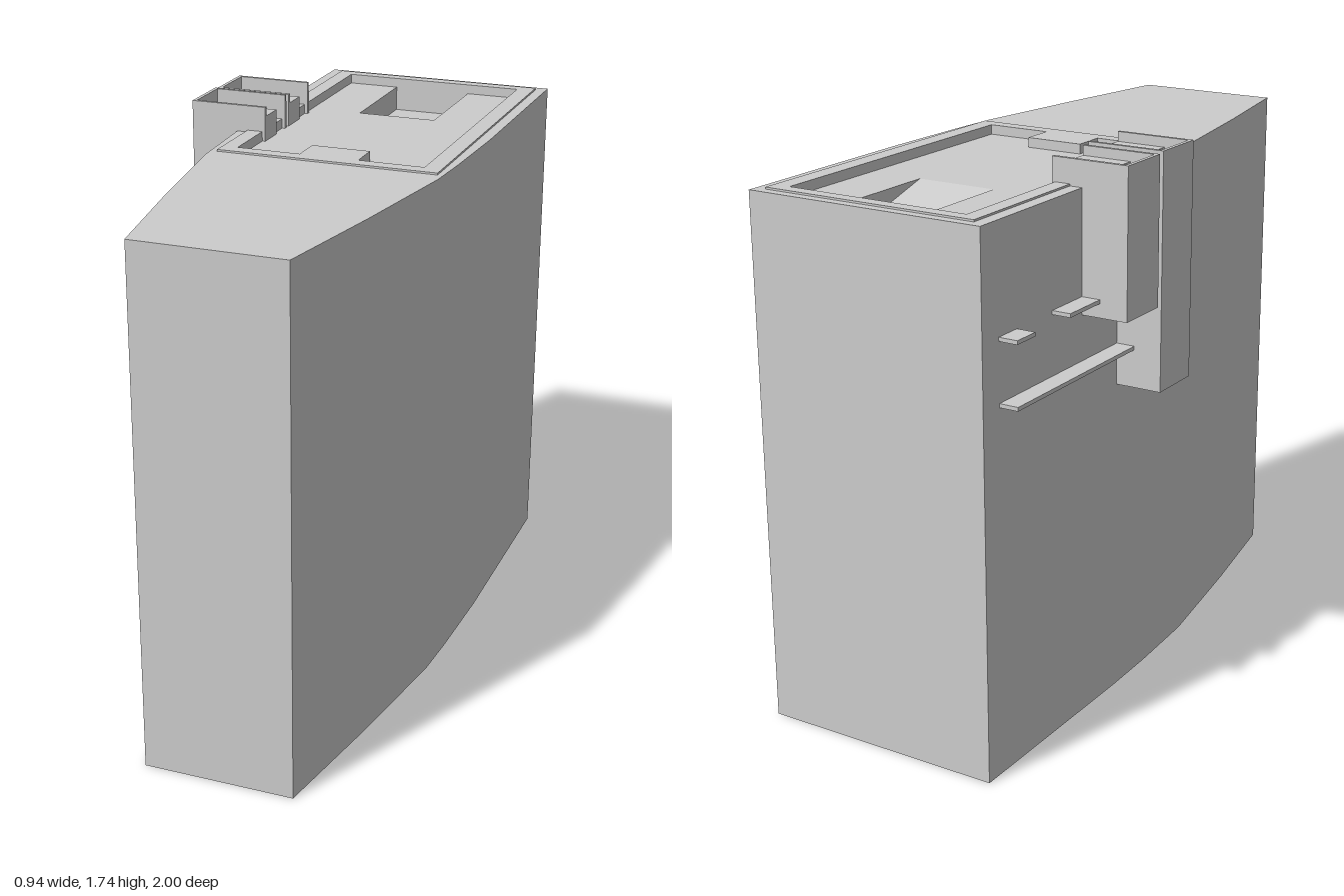
import * as THREE from 'three';

const material = new THREE.MeshStandardMaterial({ color: 0xcccccc, flatShading: true });

// Plan outlines as [x, z]
const bodyPlan = [
  [-0.32, -1], [0.465, -1], [0.465, -0.3], [0.455, 0], [0.445, 0.17], [0.38, 0.6],
  [0.31, 1], [-0.165, 1], [-0.235, 0.6], [-0.3, 0.17], [-0.315, -0.1], [-0.32, -0.3],
];
const platePlan = [[-0.28, -0.97], [0.43, -0.97], [0.43, 0.13], [-0.28, 0.13]];
const recessPlan = [
  [-0.23, -0.93], [0.375, -0.93], [0.375, 0.085], [0.165, 0.085],
  [0.165, -0.02], [-0.025, -0.02], [-0.025, 0.085], [-0.23, 0.085],
];
const pocketPlan = [[-0.06, -0.93], [0.2, -0.93], [0.2, -0.55], [-0.06, -0.55]];

const points = (list) => list.map(([a, b]) => new THREE.Vector2(a, b));

function addMesh(parent, name, geometry) {
  const mesh = new THREE.Mesh(geometry, material);
  mesh.name = name;
  parent.add(mesh);
  return mesh;
}

// Horizontal layer between two heights, with an optional opening
function addLayer(parent, name, plan, hole, y0, y1) {
  const shape = new THREE.Shape(points(plan));
  if (hole) shape.holes.push(new THREE.Path(points(hole)));
  const geometry = new THREE.ExtrudeGeometry(shape, { depth: y1 - y0, bevelEnabled: false });
  geometry.rotateX(Math.PI / 2);
  geometry.translate(0, y1, 0);
  return addMesh(parent, name, geometry);
}

// Box given by its limits on each axis
function addBox(parent, name, [x0, x1], [y0, y1], [z0, z1]) {
  const geometry = new THREE.BoxGeometry(x1 - x0, y1 - y0, z1 - z0);
  geometry.translate((x0 + x1) / 2, (y0 + y1) / 2, (z0 + z1) / 2);
  return addMesh(parent, name, geometry);
}

// Open-topped side box with a block inside it
function addSideBox(parent, name, y0, y1, z0, z1) {
  const box = new THREE.Group();
  box.name = name;
  const t = 0.012, x0 = -0.47, x1 = -0.22;
  addBox(box, 'outerWall', [x0, x0 + t], [y0, y1], [z0, z1]);
  addBox(box, 'backWall', [x0 + t, x1], [y0, y1], [z0, z0 + t]);
  addBox(box, 'frontWall', [x0 + t, x1], [y0, y1], [z1 - t, z1]);
  addBox(box, 'floor', [x0 + t, x1], [y0, y0 + t], [z0 + t, z1 - t]);
  addBox(box, 'innerBlock', [-0.38, x1], [y0 + t, y1 - 0.03], [z1 - 0.095, z1 - t]);
  parent.add(box);
}

export function createModel() {
  const model = new THREE.Group();
  model.name = 'model';

  // Tapered body, stacked so that the recess and pocket stay open
  const body = new THREE.Group();
  body.name = 'body';
  addLayer(body, 'lowerBody', bodyPlan, null, 0, 1.55);
  addLayer(body, 'pocketLayer', bodyPlan, pocketPlan, 1.55, 1.63);
  addLayer(body, 'recessLayer', bodyPlan, recessPlan, 1.63, 1.655);
  addLayer(body, 'topPlate', platePlan, recessPlan, 1.655, 1.661);
  model.add(body);

  // Ramp leading down into the pocket
  const rampShape = new THREE.Shape(points([[-0.83, 1.55], [-0.55, 1.55], [-0.55, 1.63]]));
  const ramp = new THREE.ExtrudeGeometry(rampShape, { depth: 0.26, bevelEnabled: false });
  ramp.rotateY(-Math.PI / 2);
  ramp.translate(0.2, 0, 0);
  addMesh(model, 'pocketRamp', ramp);

  // Two boxes hung on the side
  addSideBox(model, 'frontSideBox', 1.01, 1.74, -0.29, -0.11);
  addSideBox(model, 'backSideBox', 1.28, 1.735, -0.49, -0.31);

  // Thin ledges on the side wall: [y, z start, z end]
  const ledges = [[1.14, -0.92, -0.28], [1.33, -0.92, -0.83], [1.335, -0.65, -0.48]];
  for (const [y, z0, z1] of ledges) {
    addBox(model, 'sideLedge', [-0.38, -0.31], [y - 0.012, y], [z0, z1]);
  }

  // Centre the overall width and depth
  model.updateMatrixWorld(true);
  return model;
}
